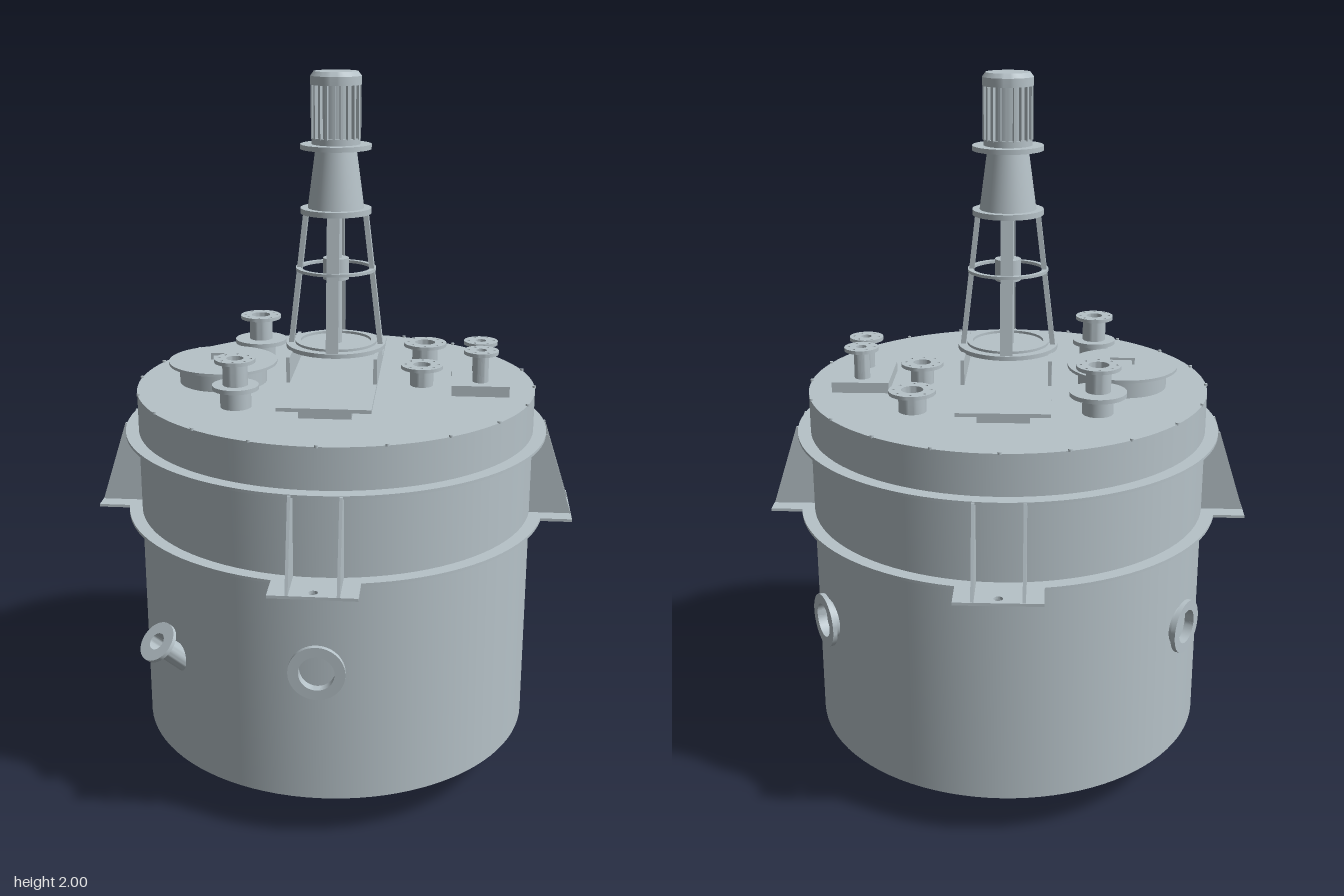
import * as THREE from 'three';
import { toCreasedNormals } from 'three/addons/utils/BufferGeometryUtils.js';

const steel = new THREE.MeshStandardMaterial({ color: 0xb6c2c8 });
steel.name = 'steel grey';

function add(parent, name, geometry, x = 0, y = 0, z = 0) {
  const mesh = new THREE.Mesh(geometry, steel);
  mesh.name = name;
  mesh.position.set(x, y, z);
  parent.add(mesh);
  return mesh;
}

const box = (w, h, d) => new THREE.BoxGeometry(w, h, d);

// Upright cylinder or cone frustum standing on its base
function drum(rTop, rBottom, h, sides = 48) {
  return new THREE.CylinderGeometry(rTop, rBottom, h, sides).translate(0, h / 2, 0);
}

// Revolved profile with crisp edges
function lathe(points, sides = 48) {
  const profile = points.map(([r, y]) => new THREE.Vector2(r, y));
  return toCreasedNormals(new THREE.LatheGeometry(profile, sides), 0.5);
}

// Flat ring standing on its base, with optional bolt holes
function ring(rOuter, rInner, h, bolts = 0, segments = 24) {
  const shape = new THREE.Shape().absarc(0, 0, rOuter, 0, Math.PI * 2);
  shape.holes.push(new THREE.Path().absarc(0, 0, rInner, 0, Math.PI * 2));
  const rBolt = (rOuter + rInner) / 2 + 0.004;
  for (let i = 0; i < bolts; i++) {
    const a = (i / bolts) * Math.PI * 2;
    shape.holes.push(new THREE.Path().absarc(rBolt * Math.cos(a), rBolt * Math.sin(a), 0.004, 0, Math.PI * 2));
  }
  const g = new THREE.ExtrudeGeometry(shape, { depth: h, bevelEnabled: false, curveSegments: segments });
  return toCreasedNormals(g.rotateX(-Math.PI / 2), 0.5);
}

// Open pipe with a flange at its top, along local +y
function nozzle(parent, name, { pipe, bore, flange, length, thick = 0.01, bolts = 0 }) {
  const group = new THREE.Group();
  group.name = name;
  add(group, name + 'Pipe', lathe([[pipe, 0], [pipe, length], [bore, length], [bore, 0.005], [0, 0.005]], 32));
  add(group, name + 'Flange', ring(flange, bore, thick, bolts), 0, length - thick, 0);
  parent.add(group);
  return group;
}

// Support foot: drilled pad and two tapered gussets, facing local +z
function bracket() {
  const group = new THREE.Group();
  group.name = 'supportBracket';
  const pad = new THREE.Shape([[-0.115, 0.54], [0.115, 0.54], [0.115, 0.68], [-0.115, 0.68]]
    .map(([x, z]) => new THREE.Vector2(x, -z)).reverse());
  pad.holes.push(new THREE.Path().absarc(0, -0.655, 0.012, 0, Math.PI * 2));
  add(group, 'footPad', new THREE.ExtrudeGeometry(pad, { depth: 0.008, bevelEnabled: false })
    .rotateX(-Math.PI / 2), 0, 0.775, 0);
  const side = new THREE.Shape([[0.55, 0.78], [0.68, 0.78], [0.604, 1.018], [0.55, 1.018]]
    .map(([z, y]) => new THREE.Vector2(z, y)));
  for (const s of [-1, 1]) {
    add(group, 'gusset', new THREE.ExtrudeGeometry(side, { depth: 0.008, bevelEnabled: false })
      .translate(0, 0, -0.004).rotateY(-Math.PI / 2), s * 0.065, 0, 0);
  }
  return group;
}

function buildVessel(root) {
  // Shell with a skirt around a shallow conical bottom
  add(root, 'vesselShell', lathe([
    [0.04, 0.06], [0.535, 0.153], [0.535, 0.13], [0.565, 0.13], [0.565, 1.135], [0, 1.135],
  ], 96));
  for (const y of [0.775, 1.012]) add(root, 'stiffenerRing', ring(0.602, 0.56, 0.008, 0, 48), 0, y, 0);
  for (let i = 0; i < 4; i++) {
    const foot = bracket();
    foot.rotation.y = (i * Math.PI) / 2;
    root.add(foot);
  }
  // Rim bolts
  for (let i = 0; i < 20; i++) {
    const a = (i / 20) * Math.PI * 2;
    add(root, 'rimBolt', drum(0.005, 0.005, 0.007, 8), 0.564 * Math.sin(a), 1.133, 0.564 * Math.cos(a));
  }
  // Bottom outlet
  const outlet = nozzle(root, 'bottomOutlet', { pipe: 0.045, bore: 0.035, flange: 0.08, length: 0.075, thick: 0.012 });
  outlet.rotation.x = Math.PI;
  outlet.position.y = 0.075;

  // Three side ports, evenly spaced
  for (let i = 0; i < 3; i++) {
    const a = (i * Math.PI * 2) / 3;
    const port = nozzle(root, 'sidePort', { pipe: 0.056, bore: 0.048, flange: 0.076, length: 0.05, thick: 0.013 });
    port.rotation.set(Math.PI / 2, 0, -a);
    port.position.set(0.54 * Math.sin(a), 0.52, 0.54 * Math.cos(a));
  }
  // Slanted inlet
  const dir = new THREE.Vector3(-0.5, 0.7, 0.5).normalize();
  const inlet = nozzle(root, 'slantedInlet', { pipe: 0.03, bore: 0.024, flange: 0.057, length: 0.17, thick: 0.012 });
  inlet.quaternion.setFromUnitVectors(new THREE.Vector3(0, 1, 0), dir);
  inlet.position.set(-0.45, 0.522, 0.45).addScaledVector(dir, -0.17);
}

function buildLidFittings(root) {
  const top = 1.135;
  // Manhole with a lift handle
  add(root, 'manholeNeck', drum(0.125, 0.125, 0.055), -0.325, top, 0);
  add(root, 'manholeCover', drum(0.155, 0.155, 0.008), -0.325, 1.188, 0);
  add(root, 'manholeHandle', box(0.07, 0.007, 0.009), -0.325, 1.212, 0);
  for (const s of [-1, 1]) add(root, 'handlePost', box(0.007, 0.02, 0.009), -0.325 + s * 0.031, 1.204, 0);

  // Two-stage nozzles: wide lower flange, narrow upper one
  for (const [z, wide] of [[-0.25, 0.077], [0.25, 0.063]]) {
    const w = wide > 0.07 ? 0.06 : 0.055;
    add(root, 'tallNozzleBase', drum(0.042, 0.042, 0.055, 32), -0.25, top, z);
    add(root, 'tallNozzleLowerFlange', drum(wide, wide, 0.012, 48), -0.25, 1.185, z);
    nozzle(root, 'tallNozzle', { pipe: 0.034, bore: w - 0.032, flange: w, length: 0.135, bolts: 8 })
      .position.set(-0.25, top, z);
  }
  // Short nozzles
  nozzle(root, 'shortNozzle', { pipe: 0.038, bore: 0.03, flange: 0.064, length: 0.06, bolts: 8 })
    .position.set(0.248, top, -0.25);
  nozzle(root, 'shortNozzle', { pipe: 0.033, bore: 0.025, flange: 0.06, length: 0.06, bolts: 8 })
    .position.set(0.245, top, 0);
  // Twin nozzles on a raised block
  add(root, 'nozzleBlock', box(0.16, 0.03, 0.21), 0.41, 1.15, 0);
  for (const s of [-1, 1]) {
    nozzle(root, 'twinNozzle', { pipe: 0.022, bore: 0.015, flange: 0.048, length: 0.095, bolts: 6 })
      .position.set(0.41, 1.16, s * 0.053);
  }
}

function buildAgitator(root) {
  // Base plate on a beam, with upright side plates
  add(root, 'baseBeam', box(0.14, 0.032, 0.68), 0, 1.15, 0);
  add(root, 'basePlate', box(0.25, 0.01, 0.76), 0, 1.17, 0);
  for (const s of [-1, 1]) add(root, 'pedestalSide', box(0.01, 0.072, 0.29), s * 0.12, 1.21, 0);

  // Stand: four leaning legs, lower flange and a brace ring
  add(root, 'standFoot', drum(0.14, 0.14, 0.012), 0, 1.244, 0);
  add(root, 'standFootRim', ring(0.115, 0.1, 0.007), 0, 1.256, 0);
  const from = 0.126, to = 0.082, y0 = 1.255, y1 = 1.625;
  for (let i = 0; i < 4; i++) {
    const pivot = new THREE.Group();
    pivot.name = 'standLeg';
    pivot.rotation.y = (i * Math.PI) / 2;
    const leg = add(pivot, 'legBar', box(0.034, Math.hypot(y1 - y0, from - to), 0.014), 0, (y0 + y1) / 2, (from + to) / 2);
    leg.rotation.x = -Math.atan2(from - to, y1 - y0);
    root.add(pivot);
  }
  add(root, 'braceRing', ring(0.112, 0.098, 0.008), 0, 1.464, 0);
  add(root, 'driveShaft', drum(0.017, 0.017, 0.38, 24), 0, 1.25, 0);
  add(root, 'shaftCoupling', drum(0.036, 0.036, 0.06, 32), 0, 1.438, 0);

  // Gearbox between two flanges
  add(root, 'gearboxFlange', drum(0.098, 0.098, 0.015), 0, 1.622, 0);
  add(root, 'gearboxHousing', drum(0.056, 0.078, 0.163), 0, 1.635, 0);
  add(root, 'motorFlange', drum(0.097, 0.097, 0.013), 0, 1.796, 0);

  // Finned motor
  add(root, 'motorNeck', drum(0.066, 0.066, 0.018), 0, 1.808, 0);
  add(root, 'motorCore', drum(0.058, 0.058, 0.15), 0, 1.82, 0);
  for (let i = 0; i < 20; i++) {
    const a = (i / 20) * Math.PI * 2;
    const fin = add(root, 'coolingFin', box(0.007, 0.147, 0.014), 0.061 * Math.sin(a), 1.897, 0.061 * Math.cos(a));
    fin.rotation.y = a;
  }
  add(root, 'motorCap', lathe([[0, 1.965], [0.069, 1.965], [0.069, 1.988], [0.06, 2], [0, 2]]));
}

export function createModel() {
  const root = new THREE.Group();
  root.name = 'mixingTank';
  buildVessel(root);
  buildLidFittings(root);
  buildAgitator(root);
  return root;
}
